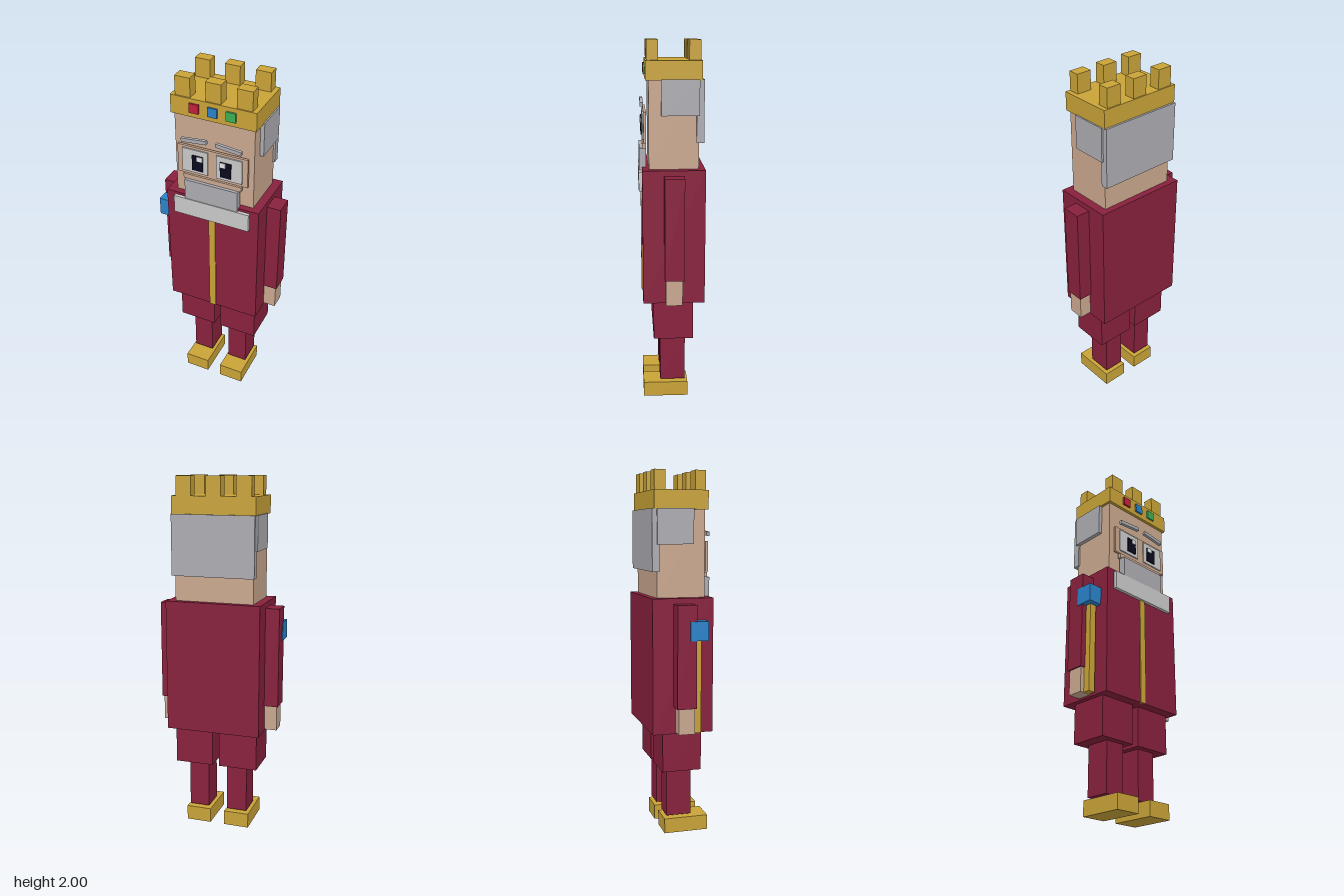
import * as THREE from 'three';

const mat = (name, color) => {
  const m = new THREE.MeshStandardMaterial({ color });
  m.name = name;
  return m;
};

export function createModel() {
  const robe = mat('crimson', 0x88213d), gold = mat('gold', 0xc9a338);
  const skin = mat('skin', 0xcaa88f), gray = mat('gray hair', 0xadacb1);
  const pale = mat('pale white', 0xcacacb), blue = mat('blue', 0x2b82cb);
  const red = mat('red', 0xc41f3c), green = mat('green', 0x3cb055);
  const dark = mat('dark pupil', 0x0b0b20), bright = mat('bright white', 0xf0f0f0);

  const model = new THREE.Group();
  model.name = 'king';

  // Box given by its lower and upper limits on each axis
  const box = (name, m, [x0, x1], [y0, y1], [z0, z1]) => {
    const mesh = new THREE.Mesh(new THREE.BoxGeometry(x1 - x0, y1 - y0, z1 - z0), m);
    mesh.position.set((x0 + x1) / 2, (y0 + y1) / 2, (z0 + z1) / 2);
    mesh.name = name;
    model.add(mesh);
    return mesh;
  };
  // Same box on the left (+x) and right (-x)
  const pair = (name, m, [x0, x1], y, z) => [
    box('left' + name, m, [x0, x1], y, z),
    box('right' + name, m, [-x1, -x0], y, z),
  ];

  // Robe and its gold trim
  box('robe', robe, [-0.268, 0.268], [0.595, 1.33], [-0.178, 0.158]);
  box('robeTrim', gold, [-0.019, 0.019], [0.595, 1.22], [0.15, 0.164]);

  // Arms and legs
  pair('Arm', robe, [0.267, 0.346], [0.745, 1.3], [-0.063, 0.043]);
  pair('Hand', skin, [0.264, 0.338], [0.605, 0.745], [-0.053, 0.036]);
  pair('Thigh', robe, [0.02, 0.24], [0.375, 0.596], [-0.117, 0.101]);
  pair('Shin', robe, [0.056, 0.172], [0.098, 0.376], [-0.077, 0.063]);
  pair('Shoe', gold, [0.042, 0.187], [0, 0.084], [-0.092, 0.158]);

  // Sceptre in front of the right arm
  box('sceptreRod', gold, [-0.316, -0.277], [0.605, 1.12], [0.037, 0.077]);
  box('sceptreGem', blue, [-0.349, -0.269], [1.11, 1.213], [0.007, 0.107]);

  // Head and hair
  box('head', skin, [-0.222, 0.222], [1.32, 1.8], [-0.143, 0.122]);
  box('backHair', gray, [-0.233, 0.233], [1.47, 1.8], [-0.17, -0.13]);
  pair('SideHair', gray, [0.215, 0.243], [1.613, 1.8], [-0.145, 0.056]);

  // Face
  box('eyePlate', skin, [-0.198, 0.198], [1.465, 1.63], [0.135, 0.149]);
  pair('Eye', pale, [0.024, 0.169], [1.482, 1.617], [0.147, 0.156]);
  pair('Pupil', dark, [0.049, 0.11], [1.5, 1.587], [0.155, 0.163]);
  pair('EyeGlint', bright, [0.049, 0.08], [1.56, 1.587], [0.162, 0.166]);
  pair('Brow', gray, [0.025, 0.168], [1.664, 1.685], [0.15, 0.167])
    .forEach((brow, i) => { brow.rotation.z = i ? 0.1 : -0.1; });
  box('lip', skin, [-0.165, 0.165], [1.434, 1.461], [0.135, 0.155]);
  box('beard', gray, [-0.152, 0.152], [1.3, 1.434], [0.135, 0.172]);
  box('collar', pale, [-0.218, 0.218], [1.21, 1.315], [0.15, 0.176]);

  // Crown with six points and three jewels
  box('crownBand', gold, [-0.235, 0.235], [1.795, 1.896], [-0.159, 0.138]);
  for (const x of [-0.168, 0, 0.168]) {
    for (const z of [-0.122, 0.101]) {
      box('crownPoint', gold, [x - 0.042, x + 0.042], [1.89, 2], [z - 0.03, z + 0.03]);
    }
  }
  [red, blue, green].forEach((m, i) => {
    const x = (i - 1) * 0.101;
    box('crownJewel', m, [x - 0.026, x + 0.026], [1.822, 1.873], [0.13, 0.148]);
  });

  return model;
}
